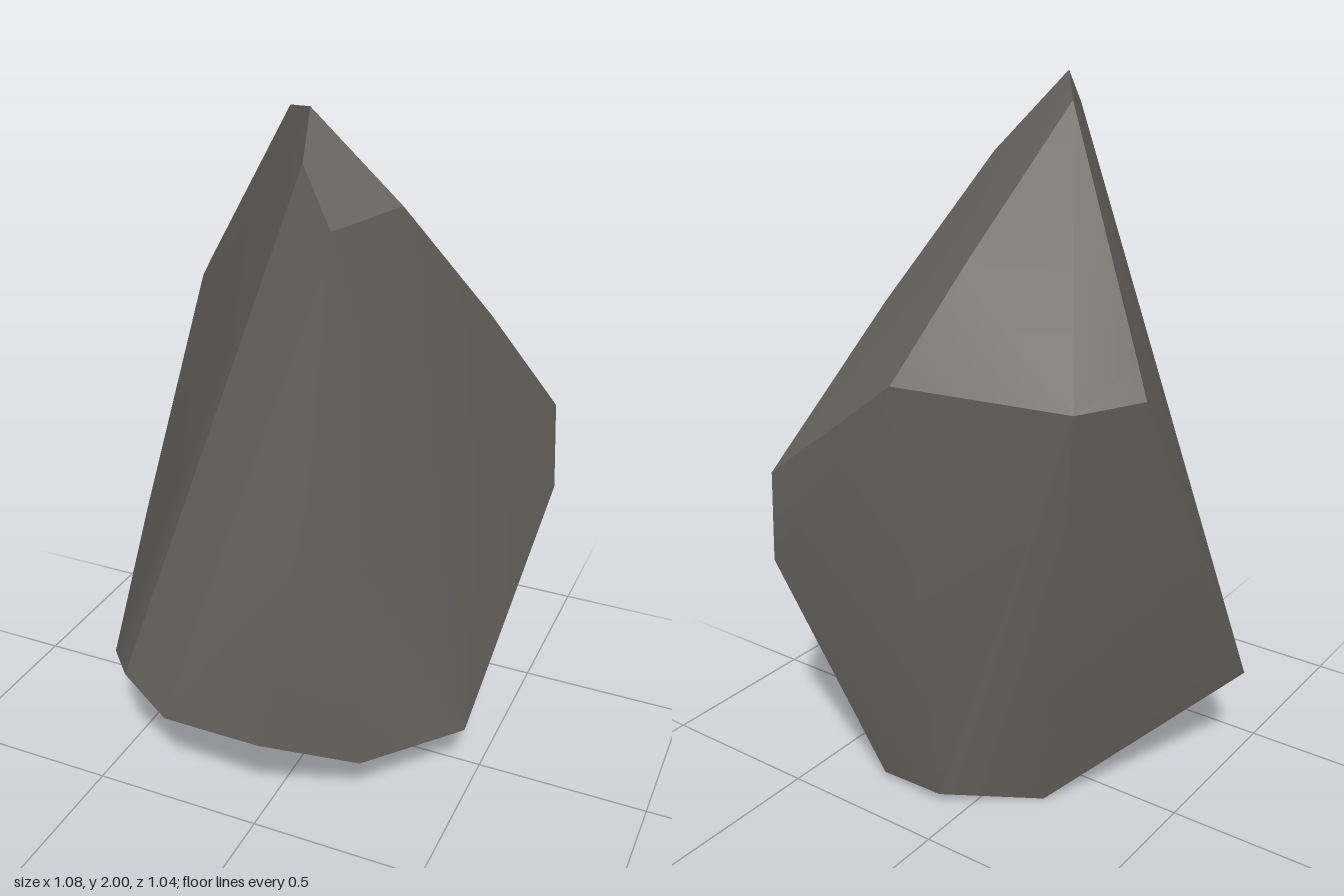
import * as THREE from 'three';
import { ConvexGeometry } from 'three/addons/geometries/ConvexGeometry.js';
import { toCreasedNormals } from 'three/addons/utils/BufferGeometryUtils.js';

// Corners of the chiselled boulder, listed from the tip down
const tip = [
  [0.11, 2.0, 0.335], [-0.03, 1.95, 0.145], [0.14, 1.9, 0.443],
  [0.31, 1.77, 0.255], [0.22, 1.76, 0.47],
];
const shoulder = [
  [-0.01, 1.6, -0.3], [-0.45, 1.39, -0.19], [0.43, 1.39, -0.1],
  [-0.5, 1.32, -0.23], [-0.395, 1.31, -0.39], [0.06, 1.33, -0.52],
];
const waist = [
  [0.18, 1.13, 0.5], [0.525, 0.98, -0.49], [0.54, 0.71, -0.49], [-0.53, 0.7, 0.11],
];
const skirt = [
  [-0.54, 0.44, 0.245], [-0.54, 0.32, 0.32], [-0.43, 0.35, 0.445],
  [-0.29, 0.26, 0.475], [0.03, 0.3, 0.52], [0.25, 0.17, 0.33], [0.47, 0.17, 0.07],
];
const foot = [
  [-0.35, 0.15, 0.33], [-0.155, 0, -0.16], [0.08, 0.03, -0.35], [0.29, 0.02, -0.345],
];

export function createModel() {
  const group = new THREE.Group();
  group.name = 'rock';
  const stone = new THREE.MeshStandardMaterial({ color: 0x6b6760 });
  stone.name = 'grey stone';

  // Stretch a hull over the corners; soften shallow folds, keep sharp ridges
  const corners = [...tip, ...shoulder, ...waist, ...skirt, ...foot]
    .map((p) => new THREE.Vector3(...p));
  const geometry = toCreasedNormals(new ConvexGeometry(corners), 0.42);

  const boulder = new THREE.Mesh(geometry, stone);
  boulder.name = 'boulder';
  group.add(boulder);
  return group;
}
